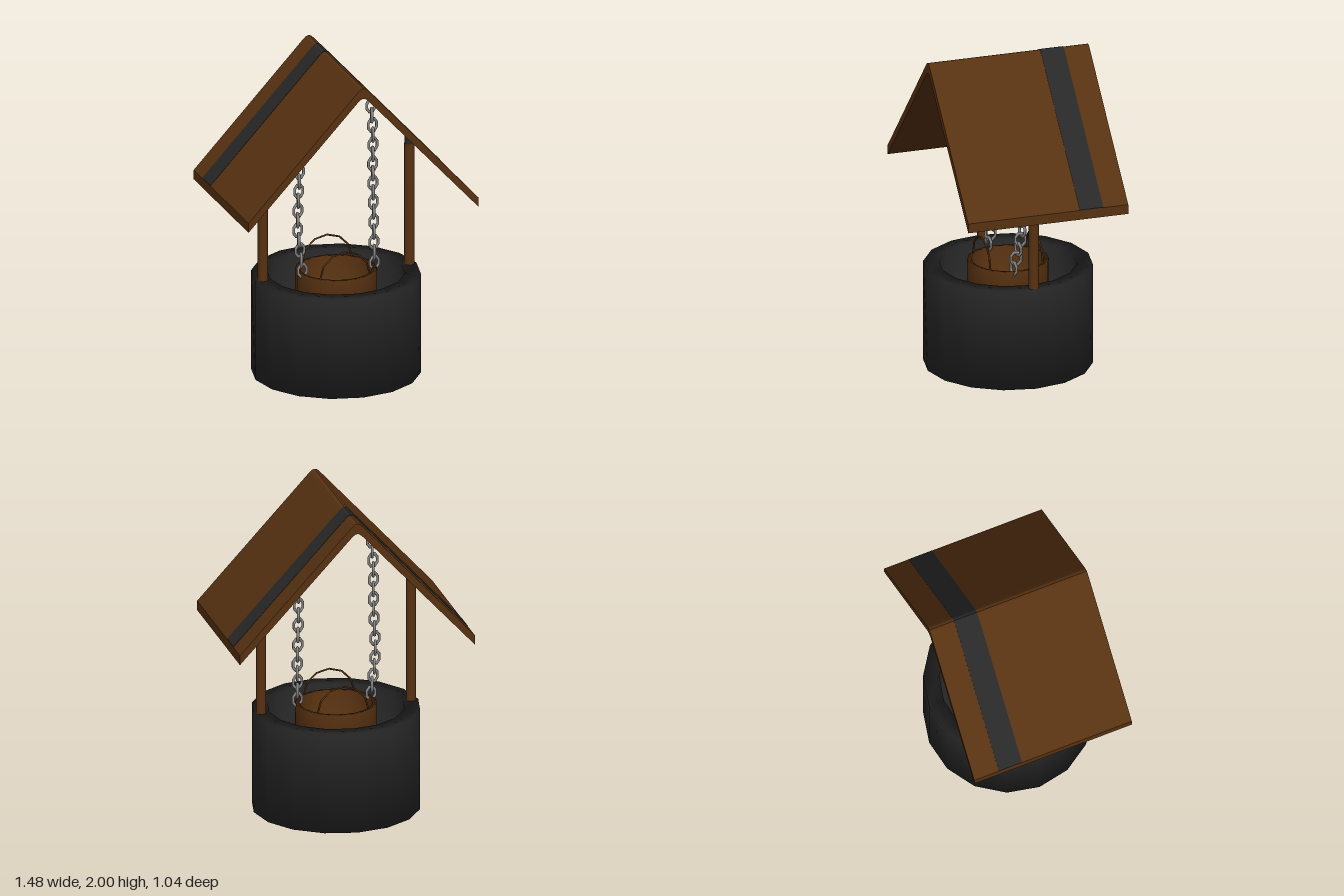
import * as THREE from 'three';

export function createModel() {
  const model = new THREE.Group();
  const mat = (name, color) => {
    const m = new THREE.MeshStandardMaterial({ color });
    m.name = name;
    return m;
  };
  const wood = mat('brown wood', 0x583211);
  const stone = mat('dark stone', 0x282828);
  const metal = mat('grey metal', 0x858585);

  const add = (name, geometry, material, x = 0, y = 0, z = 0, parent = model) => {
    const mesh = new THREE.Mesh(geometry, material);
    mesh.name = name;
    mesh.position.set(x, y, z);
    parent.add(mesh);
    return mesh;
  };
  const lathe = (pts, sides) =>
    new THREE.LatheGeometry(pts.map(p => new THREE.Vector2(...p)), sides);

  // Hollow round well wall with a closed floor
  add('wellWall', lathe([[0, 0], [0.518, 0], [0.518, 0.64], [0.42, 0.64], [0.42, 0.08], [0, 0.08]], 16), stone);

  // Open bucket hanging in the mouth of the well
  add('bucket', lathe([[0, 0.25], [0.25, 0.25], [0.25, 0.665], [0.222, 0.665], [0.222, 0.3], [0, 0.3]], 20), wood);
  for (const z of [-0.17, 0.17]) {
    add('bucketHandle', new THREE.TorusGeometry(0.16, 0.006, 6, 6, Math.PI), wood, 0, 0.664, z);
  }

  // Gable roof: a bent slab extruded along z
  const outer = [[0.74, 1.21], [0.04, 1.97], [0.018, 1.992], [0, 1.998]];
  const inner = [[0.74, 1.15], [0.035, 1.91], [0.015, 1.927], [0, 1.932]];
  const mirrored = half => [...half, ...half.slice(0, -1).reverse().map(([x, y]) => [-x, y])];
  const slab = (top, bottom, depth) => {
    const pts = [...mirrored(top), ...mirrored(bottom).reverse()].map(p => new THREE.Vector2(...p));
    return new THREE.ExtrudeGeometry(new THREE.Shape(pts), { depth, bevelEnabled: false });
  };
  add('roof', slab(outer, inner, 1.034), wood, 0, 0, -0.517);

  // Dark band laid over the roof near the back
  const raised = outer.map(([x, y]) => [x, y + 0.003]);
  add('roofStripe', slab(raised, outer, 0.152), stone, 0, 0, -0.356);

  // Posts with dark caps cut to the roof slope
  for (const side of [-1, 1]) {
    add('post', new THREE.CylinderGeometry(0.031, 0.031, 0.79, 16), wood, side * 0.472, 1.025, 0);
    const cap = new THREE.CylinderGeometry(0.03, 0.03, 0.05, 16);
    const p = cap.attributes.position;
    for (let i = 0; i < p.count; i++) {
      if (p.getY(i) > 0) p.setY(i, 0.025 - side * p.getX(i) * 1.09);
    }
    cap.computeVertexNormals();
    add('postCap', cap, stone, side * 0.472, 1.435, 0);
  }

  // Slightly swaying chains, each link turned a quarter from the last
  const link = new THREE.TorusGeometry(0.034, 0.0095, 6, 8);
  link.rotateZ(Math.PI / 8);
  link.scale(0.95, 1.22, 1);
  const sway = new THREE.CatmullRomCurve3([
    [0.225, 1.69, 0], [0.236, 1.5, 0.005], [0.236, 1.3, 0], [0.243, 1.06, -0.008],
    [0.245, 0.93, -0.004], [0.238, 0.81, 0.018], [0.232, 0.69, 0.045],
  ].map(a => new THREE.Vector3(...a)));
  for (const side of [-1, 1]) {
    const chain = new THREE.Group();
    chain.name = side > 0 ? 'leftChain' : 'rightChain';
    model.add(chain);
    for (let i = 0; i <= 16; i++) {
      const c = sway.getPointAt(i / 16);
      const mesh = add('chainLink', link, metal, side * c.x, c.y, c.z, chain);
      mesh.rotation.y = i % 2 ? Math.PI / 2 - 0.25 : 0.25;
    }
  }
  return model;
}
